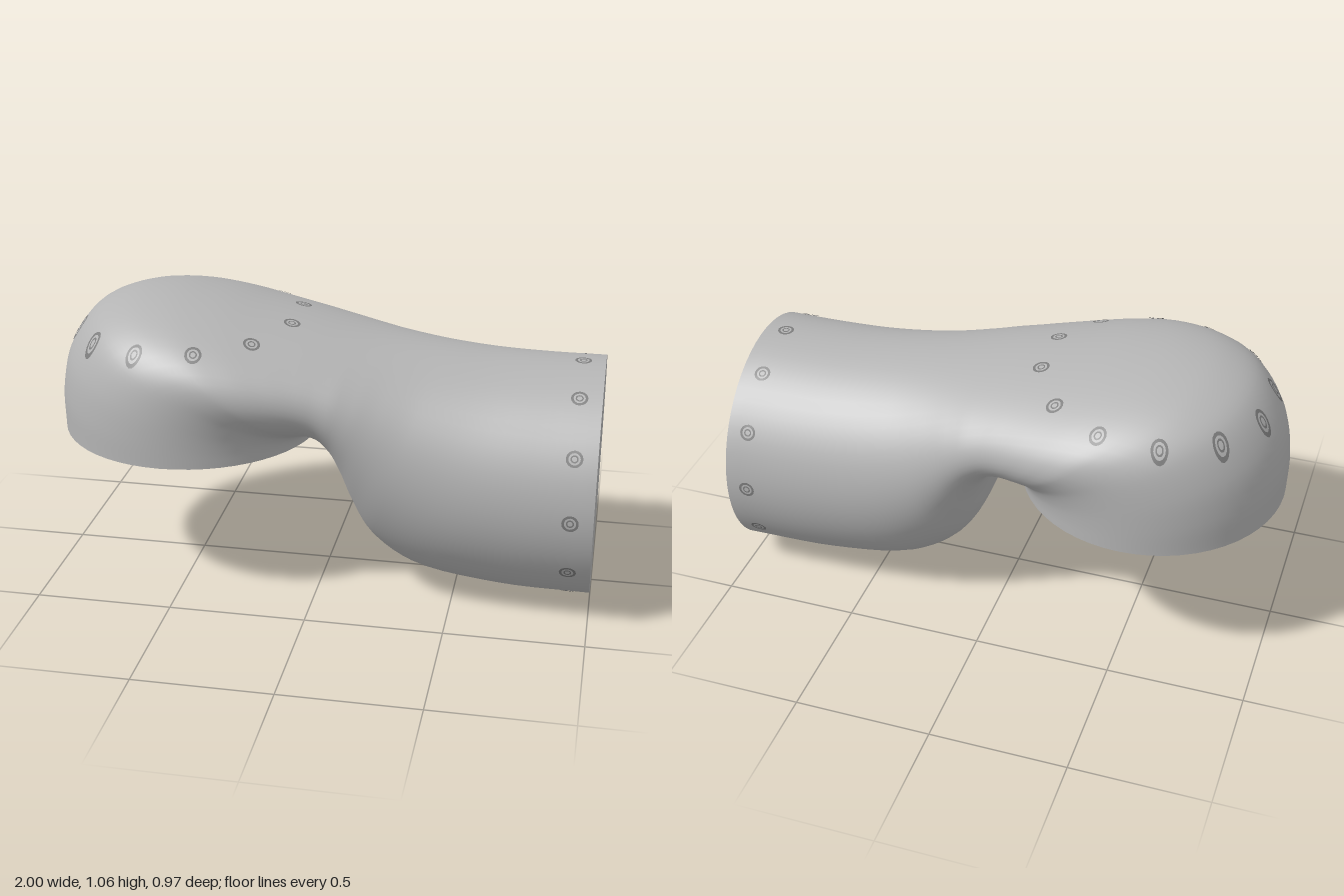
import * as THREE from 'three';

// Each section: outer x, y, inner x, y, half width in z
const SECTIONS = [
  [-1, 0.545, -0.04, 0.545, 0.485], [-1, 0.7, -0.035, 0.56, 0.485],
  [-0.965, 0.85, -0.03, 0.567, 0.485], [-0.87, 0.985, -0.025, 0.57, 0.485],
  [-0.75, 1.04, -0.02, 0.572, 0.485], [-0.6, 1.057, -0.015, 0.574, 0.482],
  [-0.42, 1.043, -0.005, 0.573, 0.465], [-0.22, 1.007, 0.01, 0.57, 0.44],
  [-0.05, 0.975, 0.03, 0.55, 0.42], [0.1, 0.945, 0.05, 0.5, 0.414],
  [0.2, 0.927, 0.075, 0.42, 0.412], [0.3, 0.912, 0.11, 0.31, 0.413],
  [0.42, 0.897, 0.18, 0.18, 0.418], [0.6, 0.88, 0.33, 0.07, 0.425],
  [0.8, 0.873, 0.65, 0.01, 0.432], [1, 0.873, 1, 0, 0.435],
];
const AROUND = 56, ALONG = 75;
const outer = new THREE.CatmullRomCurve3(SECTIONS.map((s) => new THREE.Vector3(s[0], s[1], 0)));
const inner = new THREE.CatmullRomCurve3(SECTIONS.map((s) => new THREE.Vector3(s[2], s[3], s[4])));

// Point on the skin: t runs from the downward mouth to the end mouth
function skinPoint(t, angle) {
  const o = outer.getPoint(t), i = inner.getPoint(t), c = Math.cos(angle);
  return [
    (o.x + i.x) / 2 + (o.x - i.x) / 2 * c,
    (o.y + i.y) / 2 + (o.y - i.y) / 2 * c,
    i.z * Math.sin(angle),
  ];
}

function makeGeometry(positions, index) {
  const g = new THREE.BufferGeometry();
  g.setAttribute('position', new THREE.Float32BufferAttribute(positions, 3));
  g.setIndex(index);
  g.computeVertexNormals();
  return g;
}

function skinGeometry() {
  const pos = [], idx = [];
  for (let r = 0; r <= ALONG; r++) {
    for (let k = 0; k < AROUND; k++) pos.push(...skinPoint(r / ALONG, k / AROUND * Math.PI * 2));
  }
  for (let r = 0; r < ALONG; r++) {
    for (let k = 0; k < AROUND; k++) {
      const a = r * AROUND + k, b = r * AROUND + (k + 1) % AROUND;
      idx.push(a, b, a + AROUND, b, b + AROUND, a + AROUND);
    }
  }
  return makeGeometry(pos, idx);
}

function capGeometry(t) {
  const pos = [], idx = [];
  for (let k = 0; k < AROUND; k++) pos.push(...skinPoint(t, k / AROUND * Math.PI * 2));
  for (let k = 1; k < AROUND - 1; k++) idx.push(...(t ? [0, k, k + 1] : [0, k + 1, k]));
  return makeGeometry(pos, idx);
}

// Thin ring or disc projected onto the body along a direction
function projectedRing(body, origin, dir, r0, r1, lift) {
  const ray = new THREE.Raycaster();
  const u = new THREE.Vector3(1, 0, 0), v = new THREE.Vector3().crossVectors(u, dir);
  const pos = [], idx = [], n = 16;
  for (let k = 0; k < n; k++) {
    const a = k / n * Math.PI * 2;
    for (const r of [r0, r1]) {
      const p = origin.clone().addScaledVector(u, r * Math.cos(a)).addScaledVector(v, r * Math.sin(a));
      ray.set(p, dir);
      const hit = ray.intersectObject(body)[0];
      const q = hit ? hit.point.addScaledVector(hit.face.normal, lift) : p;
      pos.push(q.x, q.y, q.z);
    }
    const i = k * 2, j = (k + 1) % n * 2;
    idx.push(i, j, i + 1, j, j + 1, i + 1);
  }
  return makeGeometry(pos, idx);
}

export function createModel() {
  const model = new THREE.Group();
  model.name = 'pipeElbow';
  const grey = new THREE.MeshStandardMaterial({ color: 0xb4b4b4 });
  grey.name = 'grey';
  const darkGrey = new THREE.MeshStandardMaterial({ color: 0x7c7c7c, side: THREE.DoubleSide });
  darkGrey.name = 'dark grey';
  const add = (name, geometry, material, parent = model) => {
    const mesh = new THREE.Mesh(geometry, material);
    mesh.name = name;
    parent.add(mesh);
    return mesh;
  };

  // Body and its two flat ends
  const body = add('bentBody', skinGeometry(), grey);
  add('lowerFace', capGeometry(0), grey);
  add('endFace', capGeometry(1), grey);

  // Screw recess: outer ring and small socket ring
  const screw = (name, origin, dir) => {
    const g = new THREE.Group();
    g.name = name;
    add('recessRim', projectedRing(body, origin, dir, 0.021, 0.03, 0.003), darkGrey, g);
    add('screwSocket', projectedRing(body, origin, dir, 0.009, 0.014, 0.003), darkGrey, g);
    model.add(g);
  };
  for (let k = 0; k < 12; k++) {
    const a = (k + 0.5) * Math.PI / 6;
    screw('topScrew', new THREE.Vector3(-0.515 + 0.41 * Math.cos(a), 2, 0.41 * Math.sin(a)),
      new THREE.Vector3(0, -1, 0));
    const b = k * Math.PI / 6, out = new THREE.Vector3(0, Math.cos(b), Math.sin(b));
    screw('endScrew', new THREE.Vector3(0.92, 0.437, 0).addScaledVector(out, 1), out.clone().negate());
  }
  return model;
}
